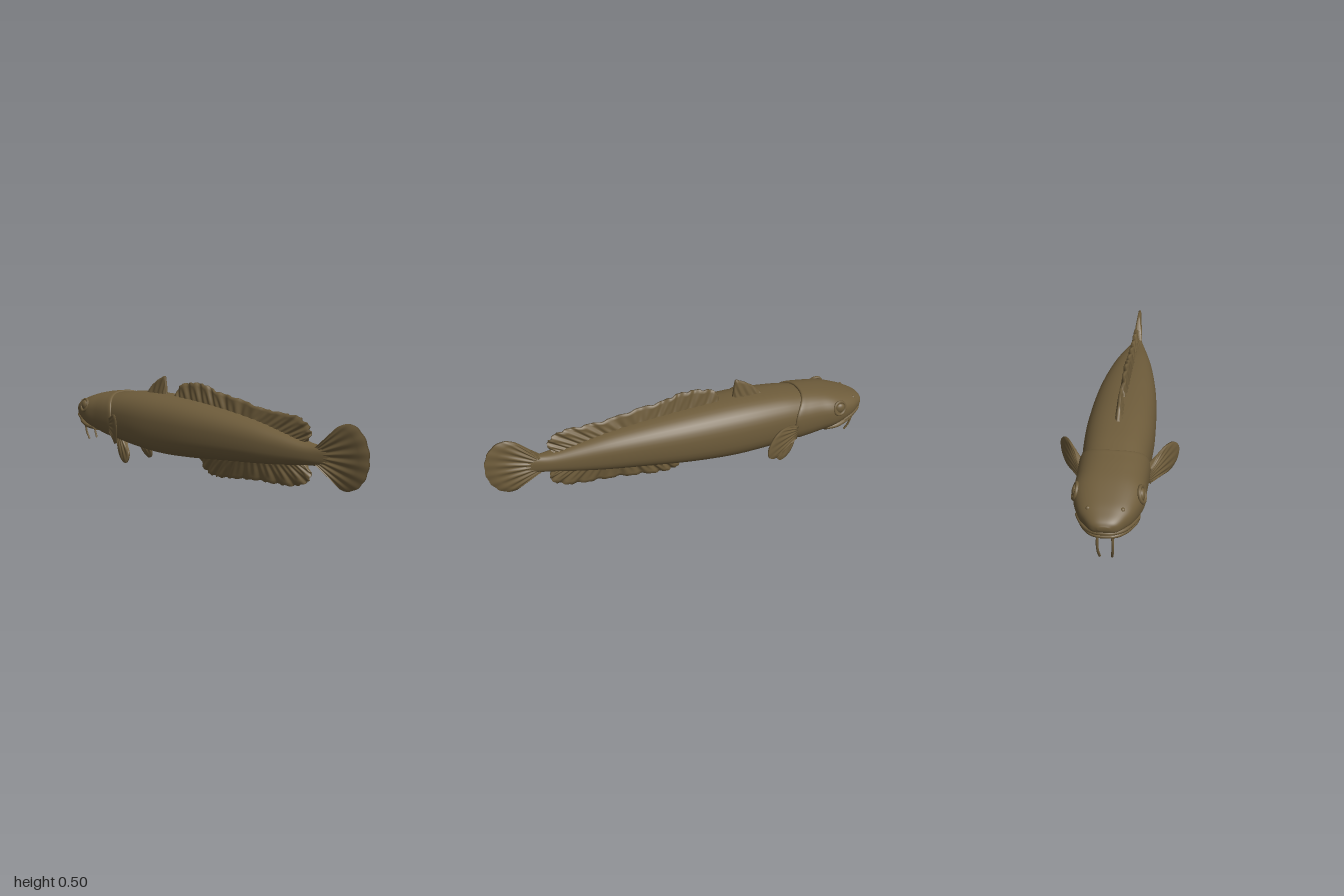
import * as THREE from 'three';

const V = (x, y, z) => new THREE.Vector3(x, y, z);

// Skin closed rings of equal length into a smooth capped solid facing outwards.
function loft(rings) {
  const n = rings[0].length, pos = [], idx = [];
  rings.forEach(r => r.forEach(p => pos.push(p.x, p.y, p.z)));
  for (let i = 0; i < rings.length - 1; i++) {
    for (let j = 0; j < n; j++) {
      const a = i * n + j, b = i * n + (j + 1) % n;
      idx.push(a, b, a + n, b, b + n, a + n);
    }
  }
  [0, rings.length - 1].forEach((ri, end) => {
    const c = rings[ri].reduce((s, p) => s.add(p), V(0, 0, 0)).divideScalar(n);
    const k = pos.length / 3;
    pos.push(c.x, c.y, c.z);
    for (let j = 0; j < n; j++) {
      const a = ri * n + j, b = ri * n + (j + 1) % n;
      if (end) idx.push(a, b, k); else idx.push(b, a, k);
    }
  });
  // A negative signed volume means the winding is inside out.
  const P = i => V(pos[3 * i], pos[3 * i + 1], pos[3 * i + 2]);
  let vol = 0;
  for (let i = 0; i < idx.length; i += 3) vol += P(idx[i]).dot(P(idx[i + 1]).cross(P(idx[i + 2])));
  if (vol < 0) idx.reverse();
  const g = new THREE.BufferGeometry();
  g.setAttribute('position', new THREE.Float32BufferAttribute(pos, 3));
  g.setIndex(idx);
  g.computeVertexNormals();
  return g;
}

// Body section from stations [x, top, bottom, half width, backward bulge of the sides].
function hull(stations, steps, power = 2.5, seg = 40) {
  const heights = new THREE.CatmullRomCurve3(stations.map(s => V(s[0], s[1], s[2])), false, 'catmullrom', 0.5);
  const widths = new THREE.CatmullRomCurve3(stations.map(s => V(s[3], s[4] || 0, 0)), false, 'catmullrom', 0.5);
  const rings = [];
  for (let i = 0; i <= steps; i++) {
    const h = heights.getPoint(i / steps), w = widths.getPoint(i / steps), ring = [];
    for (let j = 0; j < seg; j++) {
      const a = j / seg * Math.PI * 2, c = Math.cos(a), s = Math.sin(a);
      const round = v => Math.sign(v) * Math.pow(Math.abs(v), 2 / power);
      ring.push(V(h.x + w.y * c * c, (h.y + h.z) / 2 + round(s) * (h.y - h.z) / 2, round(c) * w.x));
    }
    rings.push(ring);
  }
  return loft(rings);
}

// Ribbed fin between a base line and an edge line, tapering in thickness to the edge.
function fin(base, edge, { rays = 10, thick = 0.015, wave = 0, ruffle = 0, steps = 96 }) {
  const curve = pts => new THREE.SplineCurve(pts.map(p => new THREE.Vector2(...p)));
  const B = curve(base), E = curve(edge), rings = [], m = 7;
  for (let i = 0; i <= steps; i++) {
    const u = i / steps, b = B.getPoint(u), e = E.getPoint(u), ring = [];
    const rib = Math.cos(u * rays * Math.PI * 2);
    for (let k = 0; k < 2 * m; k++) {
      const side = k < m ? 1 : -1, v = (k < m ? k : 2 * m - 1 - k) / (m - 1);
      const p = b.clone().lerp(e, v * (1 + ruffle * rib));
      const t = thick * (1 - 0.75 * v) * (1 + 0.22 * rib * Math.sin(Math.PI * v));
      ring.push(V(p.x, p.y, side * t + wave * v * Math.sin(u * rays * Math.PI)));
    }
    rings.push(ring);
  }
  return loft(rings);
}

export function createModel() {
  const fish = new THREE.Group();
  fish.name = 'fish';
  const skin = new THREE.MeshStandardMaterial({ color: 0x6e5c3b });
  skin.name = 'olive brown skin';
  const add = (name, geometry) => {
    const mesh = new THREE.Mesh(geometry, skin);
    mesh.name = name;
    fish.add(mesh);
    return mesh;
  };
  const tube = (pts, r, steps = 24) => new THREE.TubeGeometry(
    new THREE.CatmullRomCurve3(pts.map(p => V(...p))), steps, r, 8, false);

  // Long trunk narrowing to the tail root
  add('trunk', hull([
    [-0.68, 0.37, 0.15, 0.13], [-0.6, 0.385, 0.122, 0.143], [-0.5, 0.4, 0.11, 0.153],
    [-0.35, 0.41, 0.102, 0.162], [-0.2, 0.411, 0.1, 0.162], [0, 0.403, 0.115, 0.154],
    [0.2, 0.386, 0.137, 0.134], [0.4, 0.36, 0.158, 0.105], [0.55, 0.33, 0.177, 0.076],
    [0.68, 0.302, 0.198, 0.048], [0.76, 0.296, 0.206, 0.028], [0.82, 0.29, 0.215, 0.014]], 64));

  // Head whose rear side edges bulge back as gill covers
  add('head', hull([
    [-1, 0.268, 0.25, 0.022], [-0.985, 0.287, 0.224, 0.056], [-0.95, 0.306, 0.209, 0.087],
    [-0.9, 0.327, 0.19, 0.119], [-0.8, 0.36, 0.157, 0.151], [-0.72, 0.378, 0.137, 0.153, 0.015],
    [-0.66, 0.387, 0.126, 0.157, 0.045], [-0.625, 0.39, 0.122, 0.156, 0.07],
    [-0.622, 0.37, 0.14, 0.135, 0.065]], 48));

  // Lower jaw under the overhanging snout
  add('lowerJaw', hull([
    [-0.978, 0.207, 0.196, 0.03], [-0.955, 0.212, 0.183, 0.068], [-0.9, 0.21, 0.17, 0.106],
    [-0.82, 0.207, 0.155, 0.132], [-0.75, 0.2, 0.15, 0.125]], 24));

  // Lip line around the snout
  add('upperLip', tube([
    [-0.85, 0.212, 0.128], [-0.91, 0.22, 0.104], [-0.955, 0.225, 0.075], [-0.984, 0.23, 0.035], [-0.989, 0.232, 0],
    [-0.984, 0.23, -0.035], [-0.955, 0.225, -0.075], [-0.91, 0.22, -0.104], [-0.85, 0.212, -0.128]], 0.009, 40));

  // Paired features
  for (const side of [1, -1]) {
    const which = side > 0 ? 'left' : 'right';

    const eye = add(which + 'Eye', new THREE.SphereGeometry(0.028, 20, 14));
    eye.scale.z = 0.6;
    eye.position.set(-0.81, 0.3, side * 0.136);

    const socket = add(which + 'EyeRim', new THREE.TorusGeometry(0.034, 0.008, 8, 28));
    socket.position.set(-0.81, 0.3, side * 0.139);
    socket.rotation.set(-side * 0.3, -side * 0.15, 0);

    const nostril = add(which + 'Nostril', new THREE.SphereGeometry(0.01, 12, 8));
    nostril.position.set(-0.925, 0.302, side * 0.07);

    add(which + 'Barbel', tube([
      [-0.955, 0.195, side * 0.03], [-0.958, 0.15, side * 0.032],
      [-0.95, 0.105, side * 0.03], [-0.93, 0.066, side * 0.026]], 0.0055));

    const pectoral = add(which + 'PectoralFin', fin(
      [[-0.01, 0.03], [-0.012, -0.01], [-0.01, -0.05]],
      [[0, 0.032], [0.07, 0.062], [0.14, 0.075], [0.2, 0.06], [0.237, 0.015],
        [0.226, -0.04], [0.17, -0.074], [0.09, -0.068], [0, -0.053]],
      { rays: 9, thick: 0.016 }));
    pectoral.position.set(-0.545, 0.23, side * 0.152);
    pectoral.rotation.y = -side * 0.55;

    const pelvic = add(which + 'PelvicFin', fin(
      [[-0.045, 0.02], [-0.01, 0.02], [0.02, 0.01]],
      [[-0.045, 0.015], [-0.03, -0.055], [0, -0.105], [0.04, -0.132],
        [0.066, -0.12], [0.073, -0.075], [0.045, -0.035], [0.02, 0]],
      { rays: 6, thick: 0.02 }));
    pelvic.position.set(-0.56, 0.136, side * 0.068);
    pelvic.rotation.x = -side * 0.16;
  }

  // Fins along the back and belly
  add('firstDorsalFin', fin(
    [[-0.42, 0.395], [-0.33, 0.395], [-0.255, 0.395]],
    [[-0.415, 0.405], [-0.37, 0.45], [-0.32, 0.483], [-0.272, 0.503], [-0.262, 0.46], [-0.256, 0.405]],
    { rays: 5, thick: 0.018, ruffle: 0.015 }));

  add('secondDorsalFin', fin(
    [[-0.19, 0.39], [0, 0.385], [0.2, 0.368], [0.4, 0.342], [0.55, 0.312], [0.67, 0.29]],
    [[-0.19, 0.405], [-0.15, 0.468], [-0.06, 0.49], [0.03, 0.488], [0.12, 0.463], [0.25, 0.447],
      [0.4, 0.42], [0.52, 0.413], [0.62, 0.408], [0.68, 0.375], [0.695, 0.335], [0.67, 0.298]],
    { rays: 24, thick: 0.021, wave: 0.006, ruffle: 0.025, steps: 240 }));

  add('analFin', fin(
    [[0, 0.13], [0.15, 0.142], [0.3, 0.16], [0.45, 0.178], [0.58, 0.195], [0.67, 0.212]],
    [[0, 0.118], [0.02, 0.07], [0.07, 0.04], [0.14, 0.036], [0.25, 0.05], [0.38, 0.068],
      [0.5, 0.075], [0.61, 0.086], [0.685, 0.12], [0.7, 0.165], [0.67, 0.2]],
    { rays: 22, thick: 0.02, wave: 0.006, ruffle: 0.025, steps: 220 }));

  // Fan-shaped tail
  add('tailFin', fin(
    [[0.73, 0.285], [0.728, 0.25], [0.73, 0.215]],
    [[0.745, 0.298], [0.79, 0.348], [0.85, 0.4], [0.91, 0.412], [0.965, 0.375], [0.995, 0.31], [0.998, 0.24],
      [0.975, 0.175], [0.93, 0.13], [0.87, 0.122], [0.81, 0.165], [0.745, 0.203]],
    { rays: 13, thick: 0.024, ruffle: 0.006, steps: 140 }));

  return fish;
}
